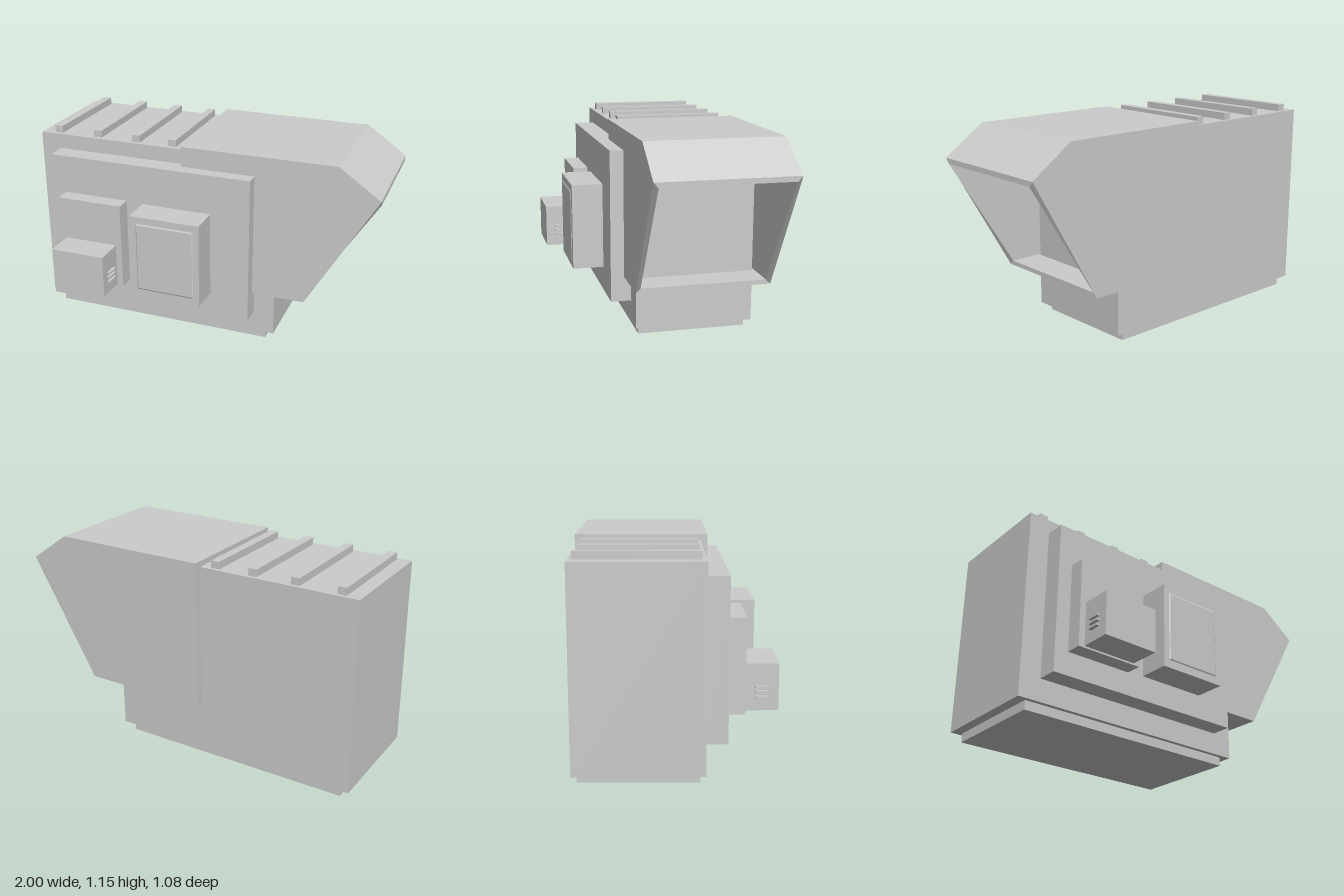
import * as THREE from 'three';

const material = new THREE.MeshStandardMaterial({ color: 0xcccccc, flatShading: true });

// Box given by its extents along each axis
function box(name, [x0, x1], [y0, y1], [z0, z1]) {
  const mesh = new THREE.Mesh(new THREE.BoxGeometry(x1 - x0, y1 - y0, z1 - z0), material);
  mesh.position.set((x0 + x1) / 2, (y0 + y1) / 2, (z0 + z1) / 2);
  mesh.name = name;
  return mesh;
}

// Hollow hood: outer and inner profiles swept across z, joined by a rim at the slanted mouth
function createHood() {
  const outer = [[0.615, 0.315], [-0.11, 0.315], [-0.11, 1.14], [0.77, 1.14], [1, 0.98]];
  const inner = [[0.615, 0.34], [-0.085, 0.34], [-0.085, 1.115], [0.76, 1.115], [1, 0.952]];
  const [outFront, outBack, inFront, inBack] = [0.205, -0.54, 0.18, -0.515];
  const positions = [];
  const face = (points) => {
    for (let i = 1; i < points.length - 1; i++) {
      positions.push(...points[0], ...points[i], ...points[i + 1]);
    }
  };
  const at = (profile, z) => profile.map(([x, y]) => [x, y, z]);

  const of = at(outer, outFront), ob = at(outer, outBack);
  const nf = at(inner, inFront), nb = at(inner, inBack);
  for (let i = 0; i < 4; i++) {
    face([of[i], of[i + 1], ob[i + 1], ob[i]]);
    face([nf[i], nb[i], nb[i + 1], nf[i + 1]]);
  }
  // Side walls
  face([...of].reverse());
  face(ob);
  face(nf);
  face([...nb].reverse());
  // Mouth rim
  const rimOut = [of[0], ob[0], ob[4], of[4]];
  const rimIn = [nf[0], nb[0], nb[4], nf[4]];
  for (let i = 0; i < 4; i++) {
    const j = (i + 1) % 4;
    face([rimOut[i], rimOut[j], rimIn[j], rimIn[i]]);
  }

  const geometry = new THREE.BufferGeometry();
  geometry.setAttribute('position', new THREE.Float32BufferAttribute(positions, 3));
  geometry.computeVertexNormals();
  const hood = new THREE.Mesh(geometry, material);
  hood.name = 'airHood';
  return hood;
}

export function createModel() {
  const model = new THREE.Group();
  model.name = 'ventilationUnit';

  // Cabinet and plinth
  model.add(
    box('base', [-0.945, 0.38], [0, 0.05], [-0.475, 0.14]),
    box('body', [-1, 0.435], [0.05, 1.11], [-0.5, 0.165]),
    box('frontPanel', [-0.88, 0.315], [0.175, 1.025], [0.165, 0.28]),
    createHood()
  );

  // Roof ribs
  for (const x of [-0.9, -0.65, -0.41, -0.19]) {
    model.add(box('roofRib', [x - 0.024, x + 0.024], [1.11, 1.15], [-0.48, 0.14]));
  }

  // Control box with small side fins
  const control = new THREE.Group();
  control.name = 'controlBox';
  control.add(
    box('mountingPlate', [-0.8, -0.415], [0.305, 0.805], [0.28, 0.37]),
    box('controlHousing', [-0.765, -0.45], [0.315, 0.56], [0.37, 0.54])
  );
  for (const y of [0.387, 0.415, 0.441]) {
    control.add(box('sideFin', [-0.783, -0.432], [y - 0.006, y + 0.006], [0.42, 0.488]));
  }
  model.add(control);

  // Access box with a slightly raised, bevelled door
  const door = box('accessDoor', [-0.28, 0.055], [0.357, 0.76], [0.455, 0.459]);
  const corners = door.geometry.attributes.position;
  for (let i = 0; i < corners.count; i++) {
    if (corners.getZ(i) > 0) {
      corners.setX(i, corners.getX(i) - Math.sign(corners.getX(i)) * 0.006);
      corners.setY(i, corners.getY(i) - Math.sign(corners.getY(i)) * 0.008);
    }
  }
  door.geometry.computeVertexNormals();
  model.add(box('accessBox', [-0.315, 0.09], [0.313, 0.8], [0.28, 0.455]), door);

  return model;
}
